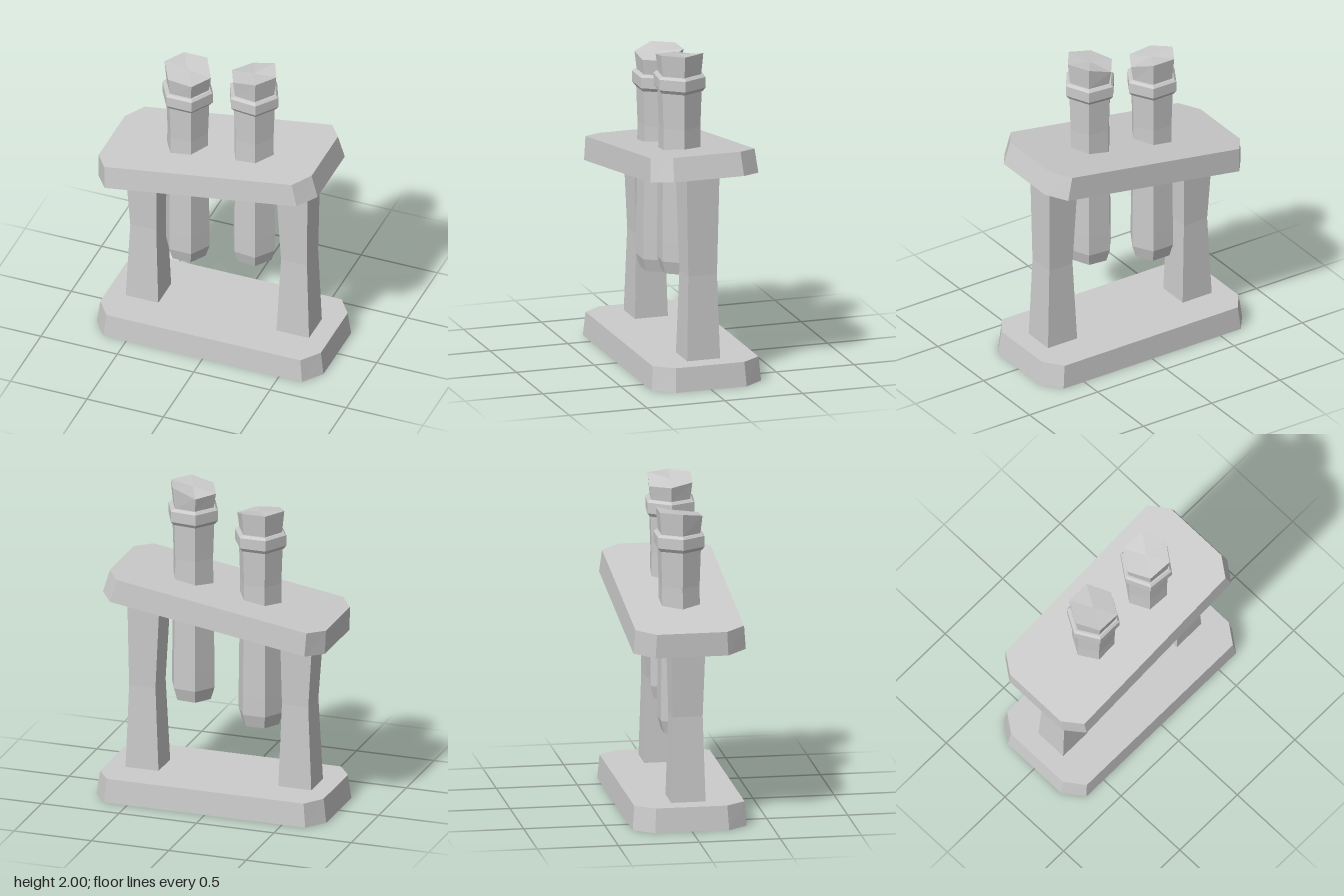
import * as THREE from 'three';

const material = new THREE.MeshStandardMaterial({ color: 0xcccccc, flatShading: true });

// Closed faceted solid through rings of [x, y, z], each counterclockwise from above, bottom first
function loft(name, rings) {
  const pos = [];
  const tri = (a, b, c) => pos.push(...a, ...b, ...c);
  const n = rings[0].length;
  const centre = (ring) => [0, 1, 2].map((k) => ring.reduce((s, p) => s + p[k], 0) / n);
  const low = rings[0], high = rings[rings.length - 1];
  const lowMid = centre(low), highMid = centre(high);
  for (let i = 0; i < n; i++) {
    const j = (i + 1) % n;
    for (let r = 0; r < rings.length - 1; r++) {
      const a = rings[r], b = rings[r + 1];
      tri(a[i], a[j], b[j]);
      tri(a[i], b[j], b[i]);
    }
    tri(lowMid, low[j], low[i]);
    tri(highMid, high[i], high[j]);
  }
  const geometry = new THREE.BufferGeometry();
  geometry.setAttribute('position', new THREE.Float32BufferAttribute(pos, 3));
  geometry.computeVertexNormals();
  const mesh = new THREE.Mesh(geometry, material);
  mesh.name = name;
  return mesh;
}

// Board with clipped corners and slightly tapered sides
function board(name) {
  const ring = (y, x, z, cx, cz) => [
    [x, y, cz], [x, y, -cz], [cx, y, -z], [-cx, y, -z],
    [-x, y, -cz], [-x, y, cz], [-cx, y, z], [cx, y, z],
  ];
  return loft(name, [ring(0, 0.742, 0.352, 0.65, 0.228), ring(0.15, 0.722, 0.34, 0.635, 0.22)]);
}

// Square post with a narrow waist
function post(name, x, top) {
  const ring = (y, cx, w, d) => [[cx + w, y, d], [cx + w, y, -d], [cx - w, y, -d], [cx - w, y, d]];
  return loft(name, [
    ring(0.14, x, 0.107, 0.106),
    ring(0.68, x + 0.003, 0.085, 0.092),
    ring(top, x - 0.01, 0.107, 0.106),
  ]);
}

const hexagon = (r, y) => Array.from({ length: 6 }, (_, i) => {
  const a = (i * Math.PI) / 3;
  return [r * Math.cos(a), Array.isArray(y) ? y[i] : y, -r * Math.sin(a)];
});

// Hexagonal tube with a collar and an uneven slanted top; heights run from the tube's foot
function tube(name, rim) {
  const group = new THREE.Group();
  group.name = name;
  group.add(loft('tubeBody', [
    hexagon(0.118, 0), hexagon(0.143, 0.08), hexagon(0.143, 0.2),
    hexagon(0.133, 0.92), hexagon(0.142, 1.17), hexagon(0.138, 1.25), hexagon(0.152, rim),
  ]));
  group.add(loft('tubeCollar', [
    hexagon(0.148, 1.145), hexagon(0.166, 1.168), hexagon(0.166, 1.235), hexagon(0.15, 1.25),
  ]));
  return group;
}

export function createModel() {
  const model = new THREE.Group();
  model.name = 'tubeRack';

  model.add(board('base'));

  // Tilted shelf
  const shelf = board('shelf');
  shelf.scale.set(0.978, 0.985, 0.985);
  shelf.rotation.z = 0.156;
  shelf.position.set(-0.015, 1.208, 0);
  model.add(shelf);

  // Posts end inside the shelf
  model.add(post('rightPost', -0.495, 1.2), post('leftPost', 0.492, 1.34));

  const rightTube = tube('rightTube', [1.345, 1.39, 1.39, 1.39, 1.36, 1.345]);
  rightTube.position.set(-0.236, 0.51, 0.004);
  const leftTube = tube('leftTube', [1.385, 1.385, 1.335, 1.34, 1.355, 1.385]);
  leftTube.position.set(0.206, 0.615, 0.022);
  leftTube.rotation.y = -0.1;
  model.add(rightTube, leftTube);

  return model;
}
